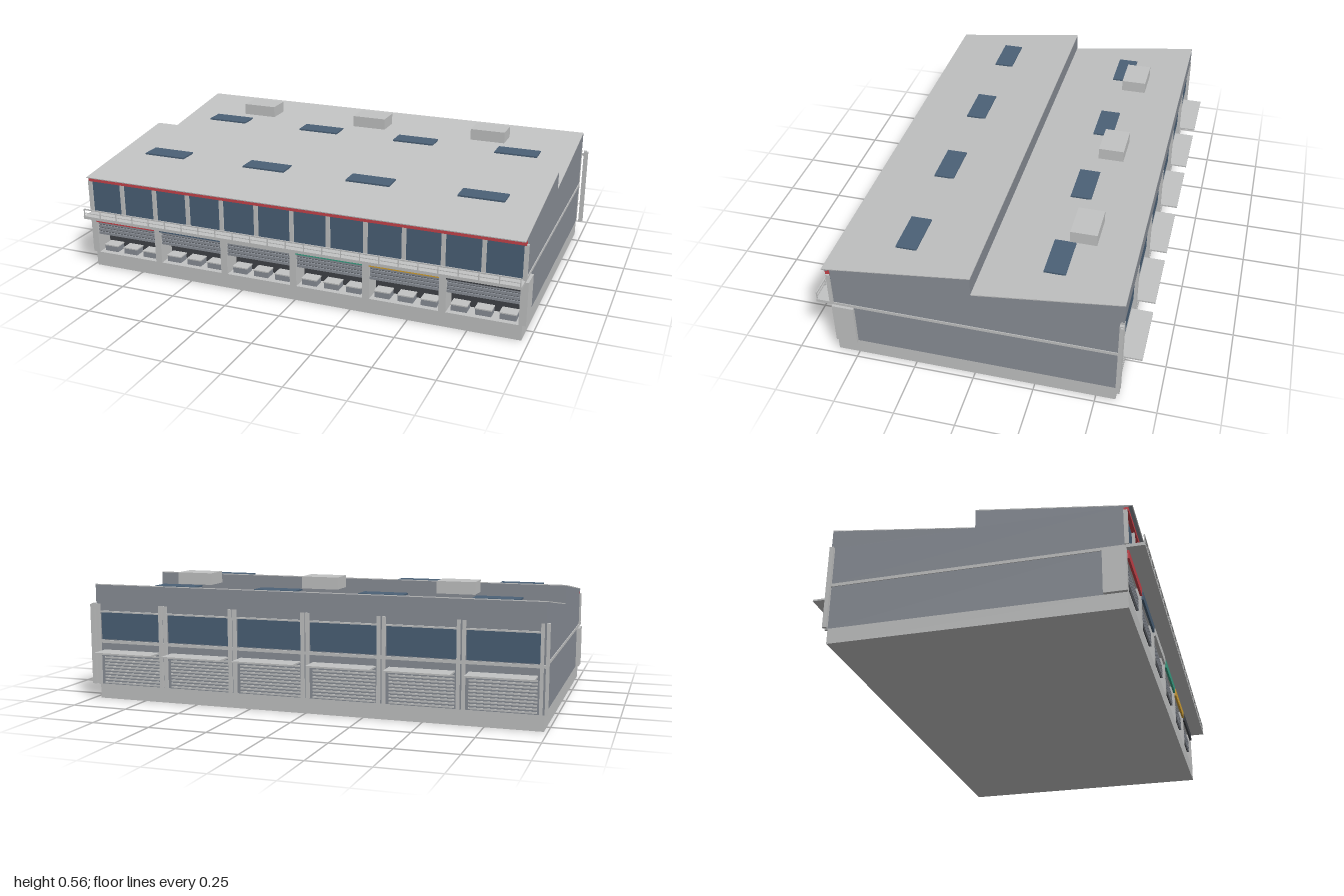
import * as THREE from 'three';

const mat = (name, hex, extra = {}) => {
  const m = new THREE.MeshStandardMaterial({ color: hex, ...extra });
  m.name = name;
  return m;
};

export function createModel() {
  const concrete = mat('light concrete', 0xc2c3c3);
  const wall = mat('grey cladding', 0x8a8f97);
  const glass = mat('blue glass', 0x4b6177);
  const dark = mat('charcoal', 0x404348);
  const red = mat('red', 0xc8434b);
  const green = mat('green', 0x3ba085);
  const yellow = mat('yellow', 0xd2a136);

  const root = new THREE.Group();
  root.name = 'pitBuilding';

  // Box given by its lower and upper limits on each axis
  const box = (name, m, x0, x1, y0, y1, z0, z1, parent = root) => {
    const mesh = new THREE.Mesh(new THREE.BoxGeometry(x1 - x0, y1 - y0, z1 - z0), m);
    mesh.position.set((x0 + x1) / 2, (y0 + y1) / 2, (z0 + z1) / 2);
    mesh.name = name;
    parent.add(mesh);
    return mesh;
  };
  const group = (name) => {
    const g = new THREE.Group();
    g.name = name;
    root.add(g);
    return g;
  };

  const L = -0.985, R = 0.97, BAYS = 6, STEP = (R - L) / BAYS;

  // Main volumes
  box('plinth', concrete, L, R, 0, 0.065, -0.58, 0.59);
  box('groundFloor', wall, L, R, 0.065, 0.25, -0.58, 0.5);
  box('upperFloor', wall, L, R, 0.262, 0.431, -0.58, 0.585);
  box('balconySlab', concrete, L - 0.003, R + 0.003, 0.249, 0.262, -0.585, 0.66);

  // Sawtooth roof body, profile drawn in z and y, swept along x
  const profile = [[0.62, 0.428], [0.005, 0.508], [0.005, 0.43], [-0.595, 0.508], [-0.595, 0.425], [0.6, 0.425]];
  const shape = new THREE.Shape(profile.map(([z, y]) => new THREE.Vector2(-z, y)));
  const roofGeo = new THREE.ExtrudeGeometry(shape, { depth: R - L, bevelEnabled: false });
  roofGeo.rotateY(Math.PI / 2);
  const roof = new THREE.Mesh(roofGeo, wall);
  roof.position.x = L;
  roof.name = 'sawtoothRoof';
  root.add(roof);

  // Light sheets on the two slopes
  for (const [zLow, zHigh] of [[0.62, 0.005], [0.005, -0.595]]) {
    const run = zLow - zHigh, rise = 0.08;
    const sheet = new THREE.Mesh(new THREE.BoxGeometry(R - L, 0.004, Math.hypot(run, rise)), concrete);
    sheet.position.set((L + R) / 2, 0.469, (zLow + zHigh) / 2);
    sheet.rotation.x = Math.atan2(rise, run);
    sheet.name = 'roofSheet';
    root.add(sheet);
  }

  // Skylights and rooftop units
  for (const x of [-0.744, -0.25, 0.235, 0.725]) {
    box('frontSkylight', glass, x - 0.098, x + 0.098, 0.474, 0.481, 0.27, 0.358);
    box('rearSkylight', glass, x - 0.098, x + 0.098, 0.474, 0.481, -0.337, -0.248);
  }
  for (const x of [-0.595, -0.01, 0.575])
    box('rooftopUnit', concrete, x - 0.08, x + 0.08, 0.504, 0.555, -0.425, -0.315);

  // Upper front: window band, mullions and red fascia
  const front = group('upperFront');
  box('windowBand', glass, L, R, 0.264, 0.41, 0.584, 0.589, front);
  for (let i = 0; i <= 12; i++) {
    const x = L + (i * STEP) / 2;
    box('mullion', concrete, x - 0.008, x + 0.008, 0.262, 0.41, 0.585, 0.6, front);
  }
  box('redFascia', red, L, R, 0.408, 0.432, 0.586, 0.604, front);

  // Balcony railing
  const railing = group('railing');
  box('topRail', concrete, L, R, 0.291, 0.296, 0.655, 0.66, railing);
  box('midRail', concrete, L, R, 0.275, 0.278, 0.656, 0.659, railing);
  for (let i = 0; i <= 24; i++) {
    const x = L + 0.002 + (i * (R - L - 0.004)) / 24;
    box('railPost', concrete, x - 0.002, x + 0.002, 0.262, 0.293, 0.656, 0.66, railing);
  }

  // Front piers
  for (let i = 0; i <= BAYS; i++) {
    const x = L + i * STEP;
    box('frontPier', concrete, x - 0.015, x + 0.015, 0.065, 0.25, 0.5, 0.59);
  }

  // Garage bays: coloured sign, rolled shutter, dark opening, cabinets
  const signs = [red, glass, concrete, green, yellow, dark];
  signs.forEach((sign, i) => {
    const bay = group('garageBay');
    const c = L + (i + 0.5) * STEP, h = 0.148;
    box('opening', dark, c - h, c + h, 0.065, 0.249, 0.499, 0.504, bay);
    box('signPanel', sign, c - h, c + h, 0.213, 0.248, 0.588, 0.597, bay);
    box('shutterBacking', dark, c - h, c + h, 0.15, 0.215, 0.57, 0.574, bay);
    for (let k = 0; k < 4; k++)
      box('shutterSlat', wall, c - h, c + h, 0.15 + k * 0.016, 0.161 + k * 0.016, 0.572, 0.581, bay);
    for (const dx of [-0.1, 0, 0.1]) {
      box('cabinet', wall, c + dx - 0.033, c + dx + 0.033, 0.065, 0.09, 0.515, 0.565, bay);
      box('cabinetTop', concrete, c + dx - 0.035, c + dx + 0.035, 0.09, 0.095, 0.513, 0.567, bay);
    }
  });

  // Rear bays: ribbed shutter, canopy and window
  for (let i = 0; i < BAYS; i++) {
    const bay = group('rearBay');
    const c = L + (i + 0.5) * STEP, h = 0.135;
    box('rearShutter', wall, c - h, c + h, 0.068, 0.21, -0.584, -0.579, bay);
    for (let k = 0; k < 10; k++)
      box('rearShutterRib', concrete, c - h, c + h, 0.07 + k * 0.014, 0.077 + k * 0.014, -0.587, -0.583, bay);
    box('canopy', concrete, c - h, c + h, 0.212, 0.219, -0.67, -0.58, bay);
    box('rearWindow', glass, c - 0.145, c + 0.145, 0.266, 0.385, -0.585, -0.579, bay);
    box('rearWindowHead', concrete, c - 0.15, c + 0.15, 0.385, 0.392, -0.588, -0.579, bay);
  }

  // Paired rear columns
  for (let i = 0; i <= BAYS; i++) {
    const x = L + 0.002 + i * (STEP + 0.0007);
    for (const dx of [-0.011, 0.011])
      box('rearColumn', concrete, x + dx - 0.006, x + dx + 0.006, 0.066, 0.425, -0.597, -0.58);
  }
  // Downpipe on the rear left corner
  box('cornerDownpipe', concrete, 0.985, 1.0, 0.068, 0.42, -0.597, -0.585);
  box('downpipeBracket', concrete, 0.965, 0.99, 0.4, 0.41, -0.595, -0.587);

  return root;
}
